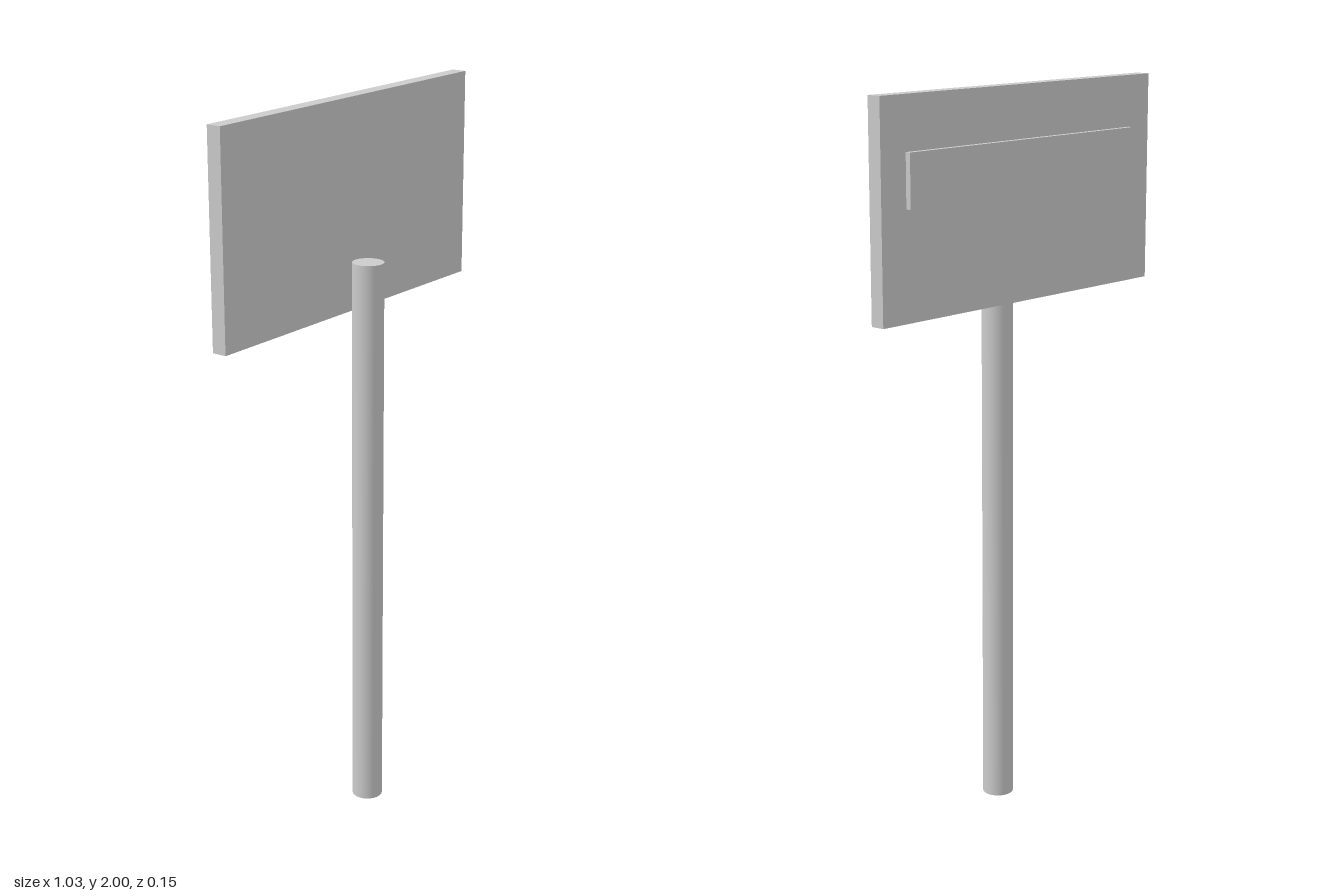
import * as THREE from 'three';

export function createModel() {
  const model = new THREE.Group();
  const material = new THREE.MeshStandardMaterial({ color: 0xcccccc });

  function add(name, geometry, x, y, z) {
    const mesh = new THREE.Mesh(geometry, material);
    mesh.name = name;
    mesh.position.set(x, y, z);
    model.add(mesh);
  }

  // Round post, standing just in front of the board
  const postHeight = 1.574;
  add('post', new THREE.CylinderGeometry(0.0425, 0.0425, postHeight, 48), 0, postHeight / 2, 0.032);

  // Flat sign board
  add('board', new THREE.BoxGeometry(1.026, 0.566, 0.041), 0, 1.717, -0.041);

  // Raised strip on the back of the board
  add('raisedStrip', new THREE.BoxGeometry(0.856, 0.14, 0.015), 0, 1.79, -0.069);

  return model;
}
